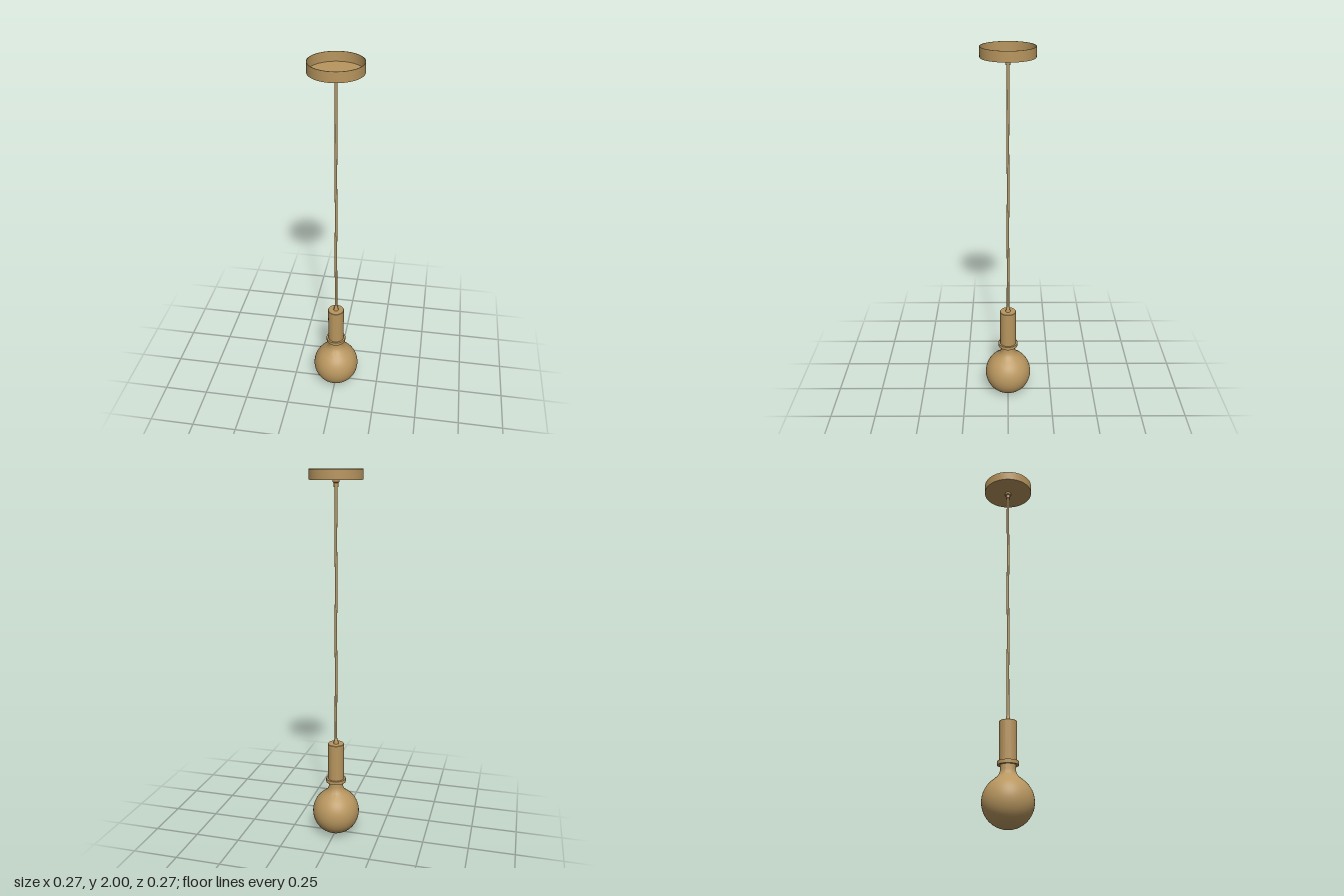
import * as THREE from 'three';
import { toCreasedNormals } from 'three/addons/utils/BufferGeometryUtils.js';

const brass = new THREE.MeshStandardMaterial({ color: 0xb8965f, side: THREE.DoubleSide });

// Turned part from [radius, height] pairs, keeping hard edges sharp
function turned(name, profile, segments = 48, crease = 0.6) {
  const points = profile.map(([r, y]) => new THREE.Vector2(r, y));
  const geometry = toCreasedNormals(new THREE.LatheGeometry(points, segments), crease);
  const mesh = new THREE.Mesh(geometry, brass);
  mesh.name = name;
  return mesh;
}

export function createModel() {
  const model = new THREE.Group();
  model.name = 'pendantLamp';

  // Ceiling cup, open at the top
  model.add(turned('ceilingCanopy', [
    [0, 1.948], [0.137, 1.948], [0.137, 2], [0.134, 2], [0.134, 1.951], [0, 1.951],
  ], 64));

  // Stepped cord grip below the cup
  model.add(turned('cordGrip', [
    [0.008, 1.912], [0.012, 1.912], [0.012, 1.932], [0.017, 1.936], [0.017, 1.948],
  ], 24));

  // Hanging cord, very slightly wavy
  const cordPoints = [];
  for (let i = 0; i <= 16; i++) {
    const t = i / 16;
    const sway = 0.0015 * Math.sin(Math.PI * t);
    cordPoints.push(new THREE.Vector3(
      sway * Math.sin(t * 18), 0.53 + t * 1.423, sway * Math.cos(t * 18)));
  }
  const cordCurve = new THREE.CatmullRomCurve3(cordPoints);
  const cord = new THREE.Mesh(new THREE.TubeGeometry(cordCurve, 64, 0.0072, 12), brass);
  cord.name = 'cord';
  model.add(cord);
  const cordEnd = new THREE.Mesh(new THREE.CircleGeometry(0.0072, 12), brass);
  cordEnd.name = 'cordEnd';
  cordEnd.rotation.x = -Math.PI / 2;
  cordEnd.position.y = 1.953;
  model.add(cordEnd);

  // Tapered sleeve where the cord enters the holder
  model.add(turned('cordSleeve', [[0.014, 0.537], [0.012, 0.55], [0.008, 0.566]], 24));

  // Lamp holder, hollow from below
  model.add(turned('lampHolder', [
    [0, 0.345], [0.042, 0.345], [0.042, 0.31], [0.045, 0.31],
    [0.045, 0.535], [0.043, 0.537], [0, 0.537],
  ]));

  // Collar ring
  model.add(turned('collarRing', [
    [0.044, 0.31], [0.055, 0.31], [0.055, 0.329], [0.044, 0.329], [0.044, 0.31],
  ]));

  // Globe bulb: sphere arc flaring into a straight neck
  const bulb = [];
  const radius = 0.13, centre = 0.132;
  for (let i = 0; i <= 24; i++) {
    const a = -Math.PI / 2 + (i / 24) * (Math.PI / 2 + 0.93);
    bulb.push([Math.max(0, radius * Math.cos(a)), centre + radius * Math.sin(a) - 0.002]);
  }
  bulb.push([0.062, 0.247], [0.051, 0.257], [0.043, 0.27], [0.039, 0.286], [0.038, 0.345]);
  model.add(turned('globeBulb', bulb, 48, 1));

  return model;
}
